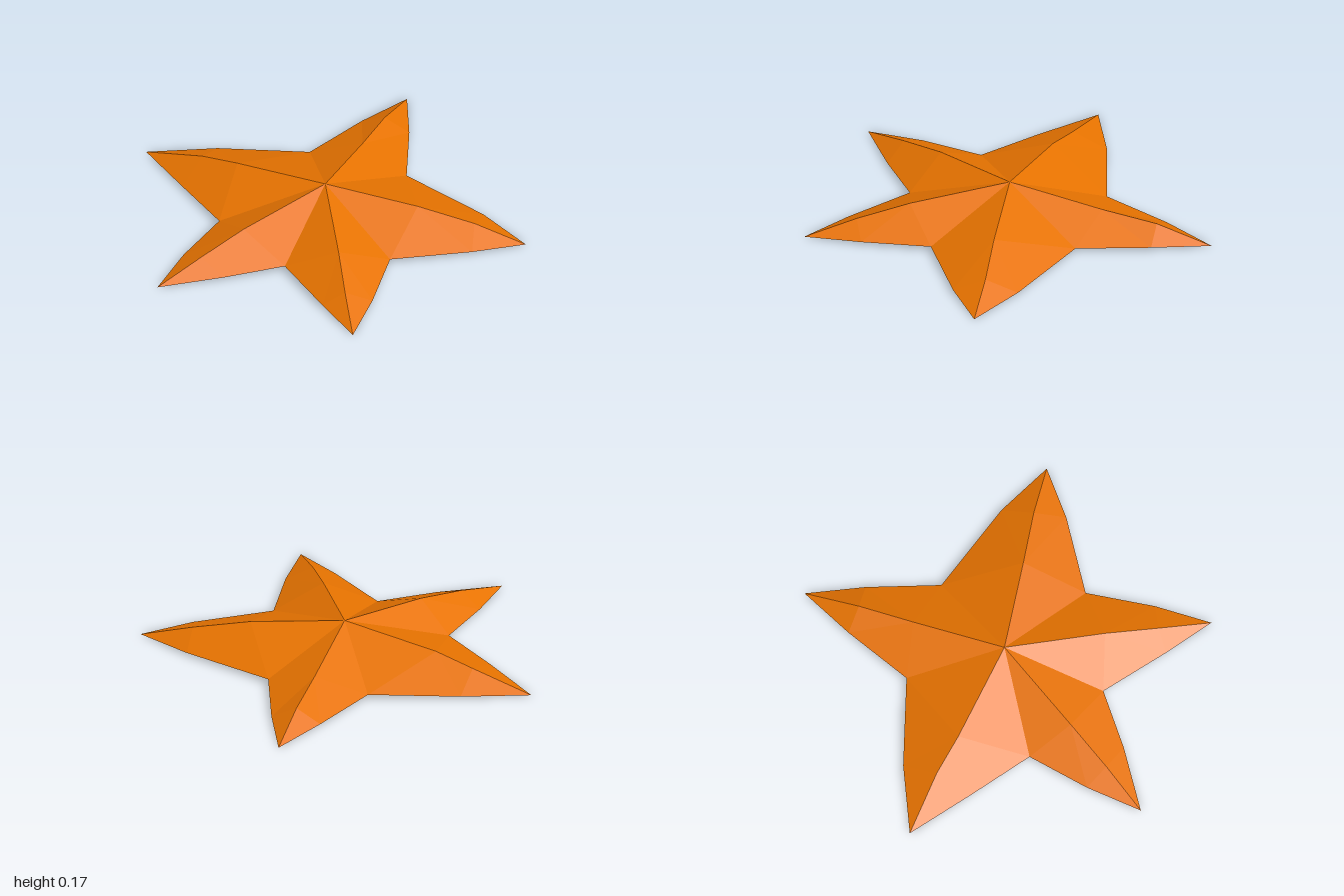
import * as THREE from 'three';

const orange = new THREE.MeshStandardMaterial({ color: 0xf57a00 });
orange.name = 'orange skin';
orange.flatShading = true;
const tan = new THREE.MeshStandardMaterial({ color: 0xd6a894 });
tan.name = 'tan underside';
tan.flatShading = true;

const peak = [0, 0.175, 0.07];
const belly = [0, 0.02, 0.07];
const edgeY = 0.013;

// Valleys between arms, clockwise from above; arm i lies between valley i and i + 1
const valleys = [[-0.255, -0.345], [0.255, -0.345], [0.45, 0.33], [0, 0.58], [-0.44, 0.355]]
  .map(([x, z]) => [x, 0.02, z]);

// Each arm: tip, two bulging edge points (x, z) and two ridge points (x, y, z)
const arms = [
  { name: 'backArm', tip: [0, -0.96], edges: [[-0.125, -0.69], [0.125, -0.69]], ridge: [[0, 0.105, -0.4], [0, 0.075, -0.68]] },
  { name: 'leftArm', tip: [1, -0.065], edges: [[0.72, -0.2], [0.79, 0.11]], ridge: [[0.46, 0.125, 0.005], [0.74, 0.07, -0.04]] },
  { name: 'frontLeftArm', tip: [0.515, 0.955], edges: [[0.5, 0.67], [0.29, 0.8]], ridge: [[0.25, 0.12, 0.5], [0.38, 0.067, 0.73]] },
  { name: 'frontRightArm', tip: [-0.515, 0.955], edges: [[-0.24, 0.77], [-0.495, 0.67]], ridge: [[-0.25, 0.12, 0.5], [-0.38, 0.067, 0.73]] },
  { name: 'rightArm', tip: [-1, -0.065], edges: [[-0.72, 0.15], [-0.685, -0.21]], ridge: [[-0.49, 0.12, 0.005], [-0.69, 0.08, -0.035]] },
];

// Faceted surface whose triangles all face up (1) or down (-1)
function surface(name, triangles, facing, material) {
  const points = triangles.flatMap(([a, b, c]) => {
    const normalY = (b[2] - a[2]) * (c[0] - a[0]) - (b[0] - a[0]) * (c[2] - a[2]);
    return normalY * facing > 0 ? [...a, ...b, ...c] : [...a, ...c, ...b];
  });
  const geometry = new THREE.BufferGeometry();
  geometry.setAttribute('position', new THREE.Float32BufferAttribute(points, 3));
  geometry.computeVertexNormals();
  const mesh = new THREE.Mesh(geometry, material);
  mesh.name = name;
  return mesh;
}

export function createModel() {
  const star = new THREE.Group();
  star.name = 'starfish';

  arms.forEach(({ name, tip, edges, ridge }, i) => {
    const end = [tip[0], 0, tip[1]];
    const [inner, outer] = ridge;
    const [firstEdge, secondEdge] = edges.map(([x, z]) => [x, edgeY, z]);
    const first = valleys[i];
    const second = valleys[(i + 1) % 5];

    // Two sloping flanks meet along the ridge
    const top = [[first, firstEdge], [second, secondEdge]].flatMap(([valley, edge]) => [
      [peak, valley, inner], [inner, valley, edge], [inner, edge, outer], [outer, edge, end],
    ]);
    // The underside is level at the middle and dips towards the tip
    const bottom = [
      [belly, first, second], [first, firstEdge, second],
      [second, firstEdge, secondEdge], [firstEdge, end, secondEdge],
    ];

    const arm = new THREE.Group();
    arm.name = name;
    arm.add(surface(name + 'Top', top, 1, orange), surface(name + 'Underside', bottom, -1, tan));
    star.add(arm);
  });

  return star;
}
